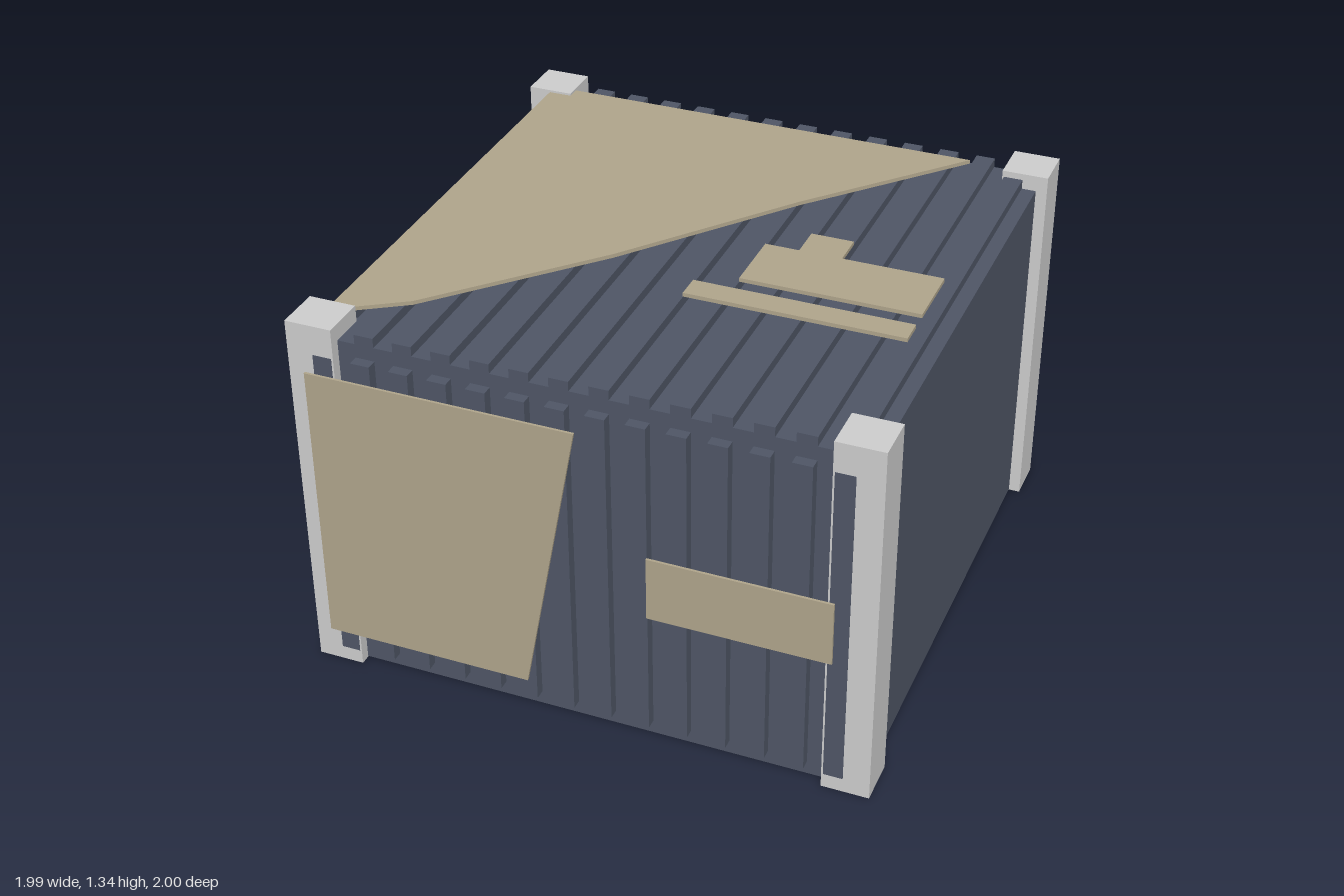
import * as THREE from 'three';

const navy = new THREE.MeshStandardMaterial({ color: 0x4e5565 });
const tan = new THREE.MeshStandardMaterial({ color: 0xaea38a });
const grey = new THREE.MeshStandardMaterial({ color: 0xcccccc });

// Box given by its minimum and maximum corners
function box(name, material, [x0, y0, z0], [x1, y1, z1]) {
  const mesh = new THREE.Mesh(new THREE.BoxGeometry(x1 - x0, y1 - y0, z1 - z0), material);
  mesh.name = name;
  mesh.position.set((x0 + x1) / 2, (y0 + y1) / 2, (z0 + z1) / 2);
  return mesh;
}

// Thin flat plate cut to an outline in the xy plane
function plate(name, points, depth) {
  const shape = new THREE.Shape(points.map(([x, y]) => new THREE.Vector2(x, y)));
  const geometry = new THREE.ExtrudeGeometry(shape, { depth, bevelEnabled: false });
  const mesh = new THREE.Mesh(geometry, tan);
  mesh.name = name;
  return mesh;
}

// Plate laid on the roof, outline given as x, z
function roofPlate(name, points) {
  const mesh = plate(name, points.map(([x, z]) => [x, -z]), 0.014);
  mesh.rotation.x = -Math.PI / 2;
  mesh.position.y = 1.318;
  return mesh;
}

// Plate on the front face, outline given as x, y
function frontPlate(name, points) {
  const mesh = plate(name, points, 0.009);
  mesh.position.z = 0.991;
  return mesh;
}

export function createModel() {
  const model = new THREE.Group();
  model.name = 'container';

  // Main box
  model.add(box('body', navy, [-0.957, 0.003, -0.96], [0.957, 1.283, 0.952]));

  // Corner posts
  for (const x of [-0.997, 0.833]) {
    for (const z of [-1, 0.826]) {
      model.add(box('cornerPost', grey, [x, 0, z], [x + 0.164, 1.34, z + 0.163]));
    }
  }

  // Ribs on the front, back and roof
  const ribs = new THREE.Group();
  ribs.name = 'ribs';
  const count = 14, pitch = 0.1343, half = 0.0335;
  for (let i = 0; i < count; i++) {
    const x = (i - (count - 1) / 2) * pitch;
    ribs.add(
      box('frontRib', navy, [x - half, 0.053, 0.94], [x + half, 1.233, 0.99]),
      box('backRib', navy, [x - half, 0.053, -1], [x + half, 1.233, -0.95]),
      box('roofRib', navy, [x - half, 1.27, -0.96], [x + half, 1.317, 0.952])
    );
  }
  model.add(ribs);

  // Front panels
  model.add(
    frontPlate('frontLargePanel', [[-0.939, 0.128], [-0.197, 0.128], [0, 1.163], [-0.939, 1.163]]),
    frontPlate('frontSmallPanel', [[0.235, 0.517], [0.857, 0.517], [0.857, 0.75], [0.235, 0.75]])
  );

  // Roof panels
  model.add(
    roofPlate('roofLargePanel', [
      [-0.917, -0.887], [0.7, -0.887], [0.245, -0.373],
      [-0.208, 0.203], [-0.683, 0.72], [-0.917, 0.87]
    ]),
    roofPlate('roofSteppedPanel', [
      [0.235, -0.05], [0.355, -0.05], [0.355, -0.173], [0.505, -0.173],
      [0.505, -0.05], [0.857, -0.05], [0.857, 0.195], [0.235, 0.195]
    ]),
    roofPlate('roofStrip', [[0.1, 0.261], [0.857, 0.261], [0.857, 0.351], [0.1, 0.351]])
  );

  return model;
}
